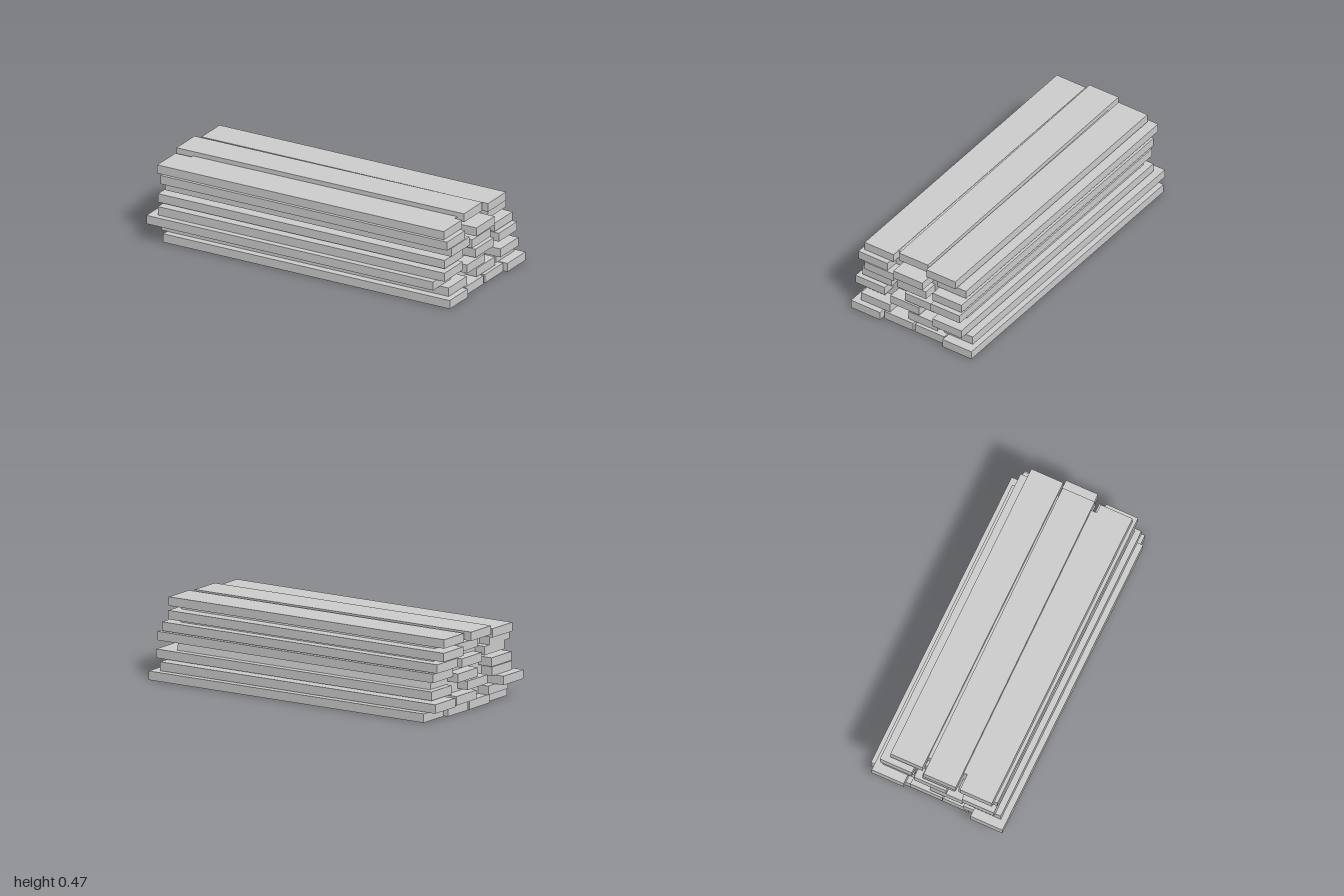
import * as THREE from 'three';

const LENGTH = 1.905, THICK = 0.052, WIDTH = 0.201;

// Each plank: [centre x, bottom y, centre z, yaw]
const COLUMNS = {
  bottomPlank: [
    [0.043, 0, 0.304], [0.018, 0, 0.09], [0.018, 0, -0.125], [0.043, 0, -0.333],
  ],
  frontPlank: [
    [0.008, 0.053, 0.261, 0.003], [-0.05, 0.105, 0.335], [0.005, 0.158, 0.299],
    [-0.015, 0.221, 0.265], [0.012, 0.29, 0.233], [0.008, 0.343, 0.277],
    [-0.025, 0.394, 0.257],
  ],
  middlePlank: [
    [0, 0.056, -0.065], [0.008, 0.122, 0.055], [0.005, 0.183, -0.044],
    [0.012, 0.261, 0.006], [0.043, 0.342, 0.009], [-0.032, 0.418, 0.028, 0.006],
  ],
  backPlank: [
    [-0.015, 0.055, -0.301], [0.04, 0.115, -0.26], [0.038, 0.216, -0.247],
    [0.012, 0.274, -0.242], [-0.032, 0.347, -0.242], [0, 0.412, -0.19],
  ],
};

export function createModel() {
  const group = new THREE.Group();
  group.name = 'plankStack';
  const material = new THREE.MeshStandardMaterial({ color: 0xcccccc, flatShading: true });

  // Loosely stacked planks
  const plank = new THREE.BoxGeometry(LENGTH, THICK, WIDTH);
  for (const [name, planks] of Object.entries(COLUMNS)) {
    planks.forEach(([x, y, z, yaw = 0], i) => {
      const mesh = new THREE.Mesh(plank, material);
      mesh.name = `${name}${i + 1}`;
      mesh.position.set(x, y + THICK / 2, z);
      mesh.rotation.y = yaw;
      group.add(mesh);
    });
  }

  // Tapered core filling the gaps between the planks
  const section = new THREE.Shape([
    new THREE.Vector2(-0.345, 0.03), new THREE.Vector2(0.345, 0.03),
    new THREE.Vector2(0.265, 0.443), new THREE.Vector2(-0.265, 0.443),
  ]);
  const coreGeometry = new THREE.ExtrudeGeometry(section, { depth: 1.75, bevelEnabled: false });
  coreGeometry.translate(0, 0, -0.875).rotateY(Math.PI / 2);
  const core = new THREE.Mesh(coreGeometry, material);
  core.name = 'core';
  group.add(core);

  return group;
}
